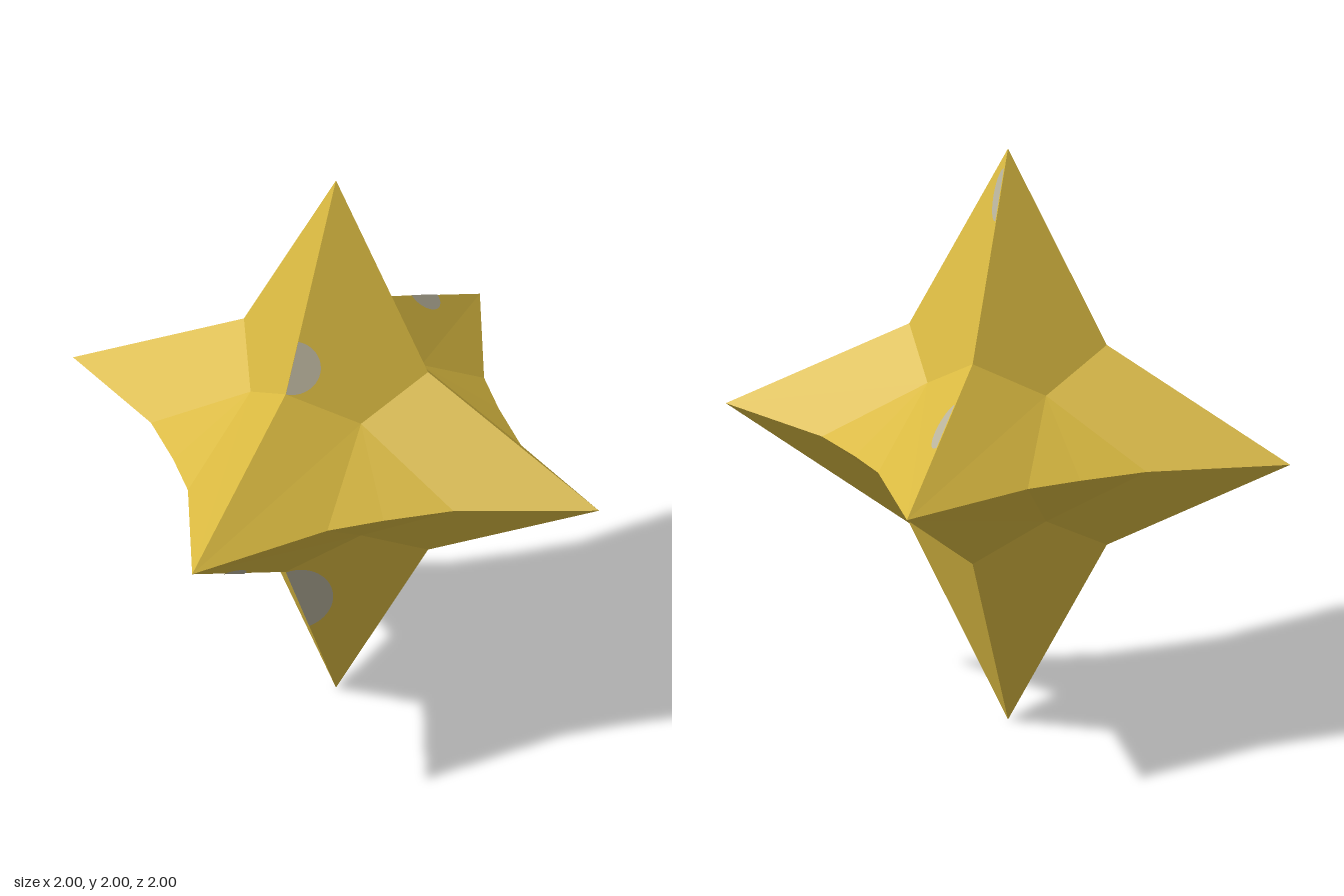
import * as THREE from 'three';

const V = (x, y, z) => new THREE.Vector3(x, y, z);

// Outline of one octant (from the +x tip, over the top, to the +z tip and back)
const outline = [
  V(1, 0, 0), V(0.35, 0.35, 0), V(0, 1, 0), V(0, 0.35, 0.35),
  V(0, 0, 1), V(0.265, 0, 0.545), V(0.4, 0, 0.4), V(0.575, 0, 0.235),
];
const hollow = V(0.21, 0.22, 0.21); // where the spike faces meet

// Six-pointed star body: one faceted octant mirrored eight ways
function starGeometry() {
  const pos = [];
  for (const sx of [1, -1]) for (const sy of [1, -1]) for (const sz of [1, -1]) {
    outline.forEach((a, i) => {
      const b = outline[(i + 1) % outline.length];
      const tri = sx * sy * sz > 0 ? [hollow, a, b] : [hollow, b, a];
      for (const p of tri) pos.push(p.x * sx, p.y * sy, p.z * sz);
    });
  }
  const g = new THREE.BufferGeometry();
  g.setAttribute('position', new THREE.Float32BufferAttribute(pos, 3));
  g.computeVertexNormals();
  return g;
}

// Half-ellipse sheet lying on a face, its straight side along the ridge a-b
function wornPatch(a, b, inner, width, material) {
  const mid = a.clone().add(b).multiplyScalar(0.5);
  const u = b.clone().sub(a);
  const half = u.length() / 2;
  u.normalize();
  const v = inner.clone().sub(mid);
  v.addScaledVector(u, -v.dot(u)).normalize();
  const n = u.clone().cross(v);
  if (n.dot(mid) < 0) { u.negate(); n.negate(); }
  const shape = new THREE.Shape();
  shape.absellipse(0, 0, half, width, 0, Math.PI, false, 0);
  const g = new THREE.ShapeGeometry(shape, 12);
  g.applyMatrix4(new THREE.Matrix4().makeBasis(u, v, n).setPosition(mid.addScaledVector(n, 0.003)));
  const mesh = new THREE.Mesh(g, material);
  mesh.name = 'wornPatch';
  return mesh;
}

export function createModel() {
  const gold = new THREE.MeshStandardMaterial({ color: 0xd9b941 });
  gold.name = 'gold';
  gold.flatShading = true;
  const worn = new THREE.MeshStandardMaterial({ color: 0xb9b39d });
  worn.name = 'worn grey';

  const group = new THREE.Group();
  group.name = 'star';
  const body = new THREE.Mesh(starGeometry(), gold);
  body.name = 'starBody';
  group.add(body);

  // Worn patches beside the ridges of the x = 0 plane:
  // spike axis, start and end along that axis, signs of y and z, width
  const slope = 0.35 / 0.65;
  const patches = [
    ['y', 0.35, 0.51, 1, 1, 0.1],
    ['y', 0.35, 0.65, -1, 1, 0.12],
    ['z', 0.52, 0.7, 1, -1, 0.06],
    ['y', 0.78, 0.94, 1, -1, 0.04],
    ['z', 0.64, 0.78, -1, 1, 0.03],
  ];
  for (const [axis, from, to, sy, sz, width] of patches) {
    const [a, b] = [from, to].map((t) => {
      const s = slope * (1 - t);
      return axis === 'y' ? V(0, t * sy, s * sz) : V(0, s * sy, t * sz);
    });
    const inner = V(hollow.x, hollow.y * sy, hollow.z * sz);
    group.add(wornPatch(a, b, inner, width, worn));
  }

  for (const m of group.children) m.position.y = 1;
  return group;
}
